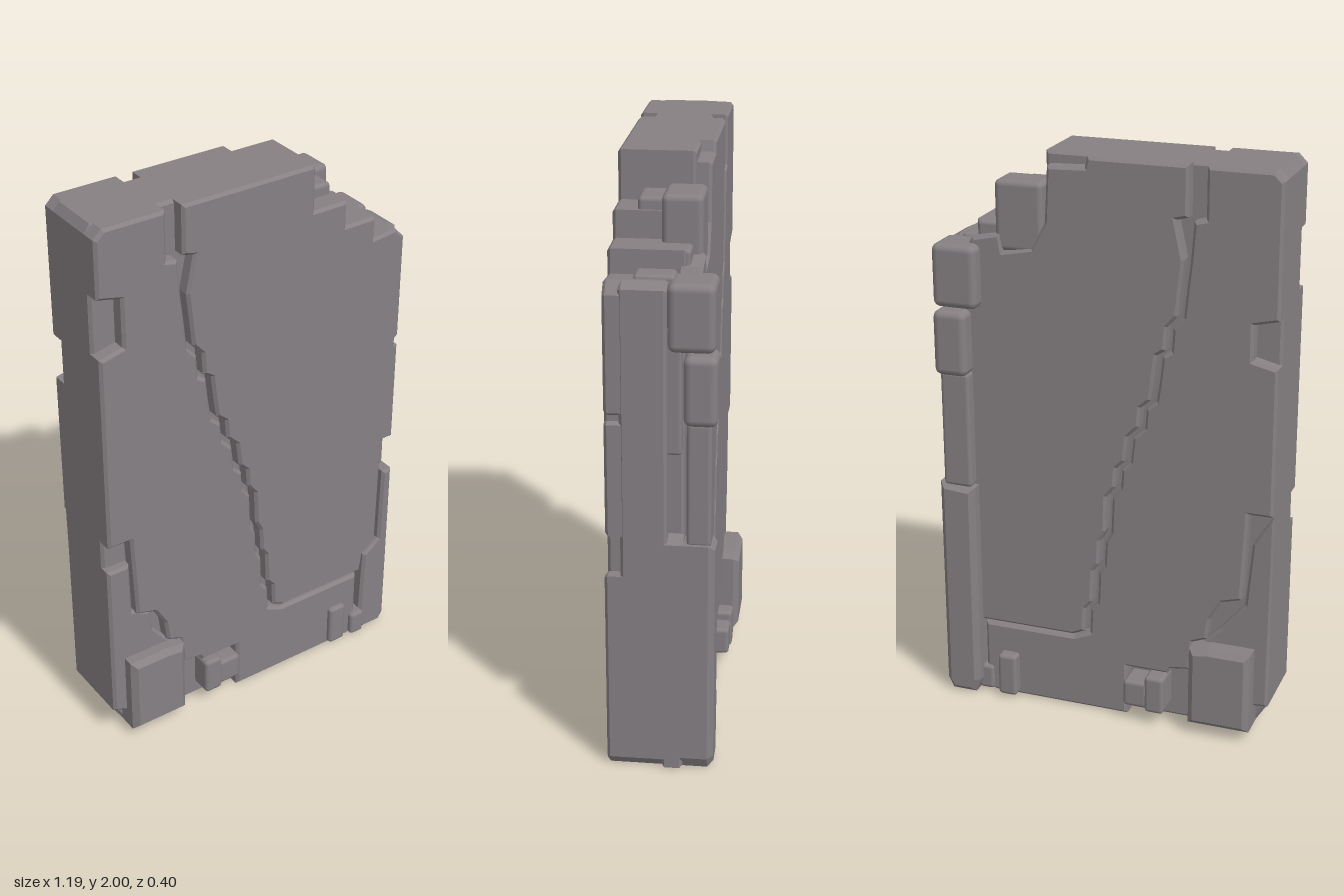
import * as THREE from 'three';
import { RoundedBoxGeometry } from 'three/addons/geometries/RoundedBoxGeometry.js';

export function createModel() {
  const model = new THREE.Group();
  model.name = 'brokenStoneSlab';
  const stone = new THREE.MeshStandardMaterial({ color: 0x868083 });
  stone.name = 'grey stone';

  // Outline in x,y extruded between two depths with a small worn bevel
  function slab(name, pts, z0, z1, bevel = 0.01) {
    const shape = new THREE.Shape(pts.map(([x, y]) => new THREE.Vector2(x, y)));
    const geo = new THREE.ExtrudeGeometry(shape, {
      depth: z1 - z0 - 2 * bevel, bevelEnabled: true, bevelSegments: 1,
      bevelSize: bevel, bevelThickness: bevel, bevelOffset: -bevel,
    });
    geo.translate(0, 0, z0 + bevel);
    const mesh = new THREE.Mesh(geo, stone);
    mesh.name = name;
    model.add(mesh);
  }

  // Worn stone chunk given by its extents
  function chunk(name, x0, x1, y0, y1, z0, z1, r = 0.014) {
    const geo = new RoundedBoxGeometry(x1 - x0, y1 - y0, z1 - z0, 2, r);
    geo.translate((x0 + x1) / 2, (y0 + y1) / 2, (z0 + z1) / 2);
    const mesh = new THREE.Mesh(geo, stone);
    mesh.name = name;
    model.add(mesh);
  }

  // Jagged crack running down both faces
  const crackPath = [
    [-0.35, 2], [-0.35, 1.83], [-0.31, 1.82], [-0.3, 1.69], [-0.29, 1.6], [-0.28, 1.5], [-0.245, 1.46],
    [-0.24, 1.38], [-0.21, 1.36], [-0.2, 1.27], [-0.19, 1.2], [-0.155, 1.17], [-0.15, 1.1], [-0.11, 1.06],
    [-0.1, 0.97], [-0.07, 0.94], [-0.065, 0.87], [-0.035, 0.83], [-0.03, 0.7], [-0.01, 0.66],
    [-0.005, 0.57], [0.015, 0.54], [0.02, 0.42], [0.045, 0.39], [0.05, 0.3], [0.11, 0.274],
  ];
  const gap = (y) => (y > 1.8 ? 0.06 : 0.022);
  const crackRight = crackPath.map(([x, y]) => [x + gap(y), y]);
  crackRight[crackRight.length - 1] = [0.115, 0.28];

  // Left part of a face, with an edge notch between n0 and n1 and a stepped broken corner
  const leftPanel = (n0, n1) => [
    ...crackPath, [0.45, 0.274], [0.45, 0.02], [0.42, 0], [-0.09, 0], [-0.09, 0.19], [-0.24, 0.19],
    [-0.25, 0.21], [-0.32, 0.22], [-0.33, 0.33], [-0.38, 0.35], [-0.39, 0.43], [-0.43, 0.5],
    [-0.5, 0.52], [-0.51, 0.73], [-0.515, 0.84], [-0.6, 0.84], [-0.6, n0], [-0.515, n0 + 0.02],
    [-0.515, n1 - 0.02], [-0.6, n1], [-0.6, 1.97], [-0.57, 2],
  ];
  const steps = [[0.55, 1.68], [0.46, 1.67], [0.46, 1.75], [0.34, 1.75], [0.34, 1.84], [0.21, 1.84], [0.21, 2]];

  // Core, front half and thinner back half
  const coreLeft = [[-0.58, 2], [-0.6, 1.97], [-0.6, 0.12], [-0.55, 0.04], [-0.43, 0.03], [-0.42, 0]];
  slab('coreFront', [...coreLeft, [0.57, 0], [0.59, 0.03], [0.59, 1.66], ...steps], -0.04, 0.11);
  slab('coreBack', [...coreLeft, [0.59, 0], [0.59, 0.82], [0.54, 0.84], [0.54, 1.67], ...steps.slice(1)],
    -0.09, -0.02);

  // Front face
  slab('frontLeftFace', leftPanel(1.56, 1.77), 0.08, 0.16);
  slab('frontRightFace', [
    ...crackRight, [0.47, 0.28], [0.48, 0.36], [0.535, 0.4], [0.54, 0.84], [0.588, 0.84],
    [0.588, 1.22], [0.575, 1.23], [0.575, 1.25], [0.588, 1.26], [0.588, 1.64], ...steps,
  ], 0.08, 0.158);

  // Back face
  slab('backLeftFace', leftPanel(1.36, 1.52), -0.14, -0.06);
  slab('backRightFace', [
    ...crackRight, [0.5, 0.28], [0.5, 1.64], [0.46, 1.7], [0.36, 1.72], [0.35, 1.66], [0.25, 1.68],
    [0.2, 1.77], [0.19, 1.96], [0.06, 1.965], [0.05, 2],
  ], -0.138, -0.06);

  // Low corner fills beside the broken edges
  slab('frontLeftCorner', [[-0.6, 0.12], [-0.55, 0.1], [-0.36, 0.1], [-0.36, 0.33], [-0.43, 0.42],
    [-0.44, 0.5], [-0.51, 0.53], [-0.515, 0.73], [-0.6, 0.73]], 0.08, 0.145);
  slab('backLeftCorner', [[-0.6, 0.12], [-0.36, 0.1], [-0.36, 0.33], [-0.43, 0.4], [-0.51, 0.5],
    [-0.53, 0.73], [-0.6, 0.84]], -0.13, -0.06);
  slab('frontRightEdge', [[0.47, 0.02], [0.49, 0], [0.57, 0], [0.59, 0.03], [0.59, 0.7], [0.55, 0.7],
    [0.545, 0.4], [0.48, 0.35]], 0.06, 0.162);

  // Corner block with sloped top, and small rubble at the foot on both faces
  slab('cornerBlock', [[-0.55, 0.04], [-0.33, 0.04], [-0.33, 0.33], [-0.4, 0.34], [-0.55, 0.34]], -0.2, 0.2, 0.02);
  chunk('footRubble', -0.24, -0.17, 0.05, 0.19, -0.19, 0.185);
  chunk('footRubble', -0.18, -0.09, 0.06, 0.16, -0.185, 0.18);
  chunk('footRubble', 0.32, 0.39, 0.01, 0.17, -0.18, 0.18);
  chunk('footRubble', 0.42, 0.48, 0.005, 0.1, -0.15, 0.18);

  // Raised back right edge: long base and separate stones above it
  slab('backRightEdge', [[0.46, 0.05], [0.48, 0], [0.57, 0], [0.59, 0.04], [0.59, 0.82], [0.46, 0.81]],
    -0.192, -0.04, 0.02);
  chunk('edgeStone', 0.47, 0.575, 0.81, 1.23, -0.18, -0.1);
  chunk('edgeStone', 0.47, 0.59, 1.22, 1.45, -0.198, -0.09, 0.025);
  chunk('edgeStone', 0.43, 0.59, 1.46, 1.68, -0.19, -0.04, 0.025);
  chunk('edgeSplinter', 0.5, 0.57, 1.12, 1.54, -0.085, -0.03, 0.01);

  // Loose stones on the stepped top corner
  chunk('topStone', 0.21, 0.38, 1.66, 1.9, -0.13, 0.0, 0.02);
  chunk('topStone', 0.2, 0.33, 1.7, 1.88, -0.01, 0.08);
  chunk('topStone', 0.36, 0.455, 1.6, 1.75, -0.1, 0.06);
  chunk('topStone', 0.44, 0.53, 1.58, 1.69, -0.06, 0.07);

  return model;
}
